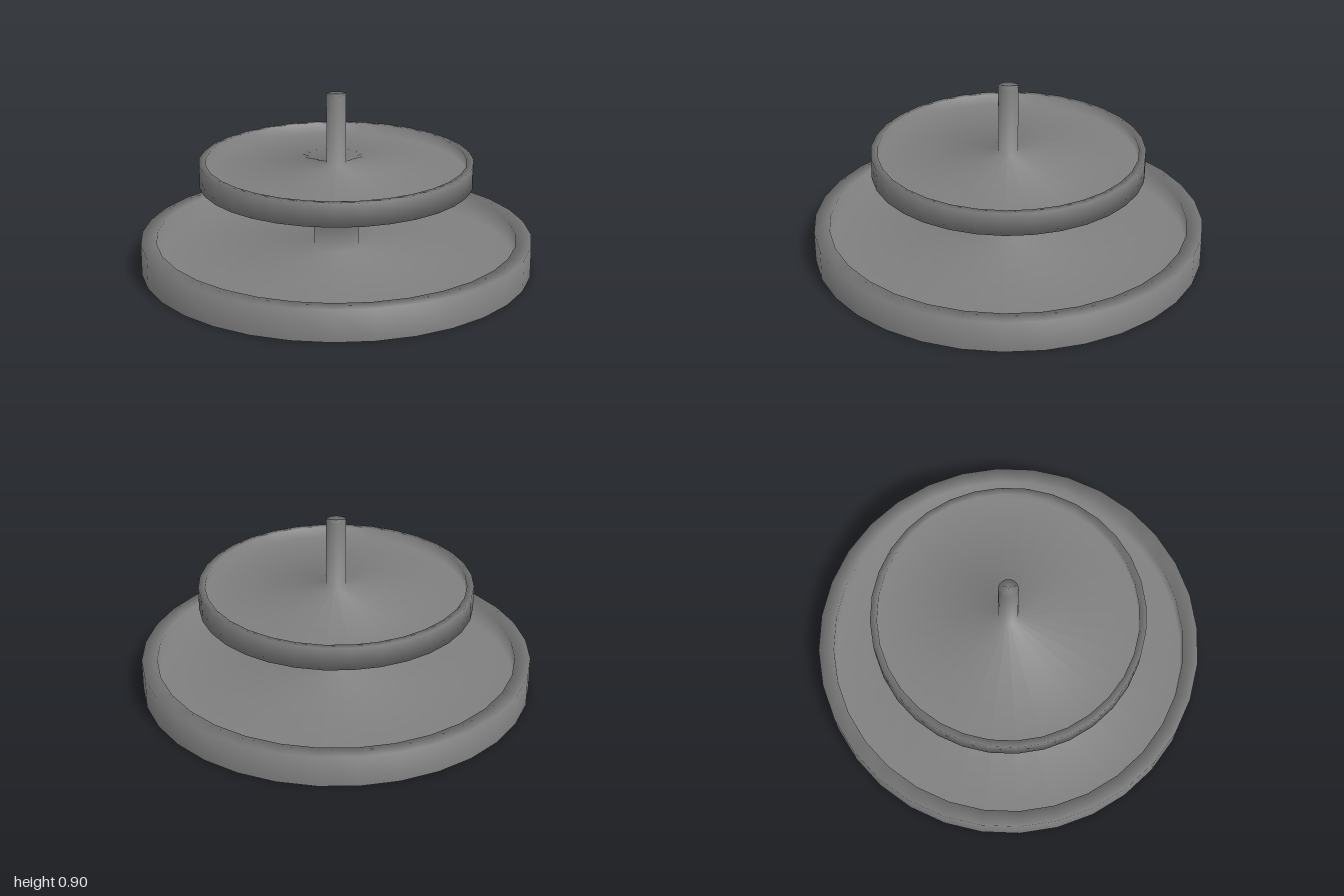
import * as THREE from 'three';

// One continuous thin sheet, open below, given as [radius, height] points
const lowerTray = [[1, 0], [1, 0.16], [0.92, 0.16], [0.92, 0.042]];
const column = [[0.115, 0.095], [0.115, 0.362]];
const upperTray = [[0.695, 0.443], [0.695, 0.56], [0.66, 0.56], [0.66, 0.5]];
const handle = [[0.05, 0.54], [0.05, 0.9], [0, 0.9]];

export function createModel() {
  const group = new THREE.Group();
  group.name = 'twoTierStand';

  // Trays, column and handle are spun together so their joints shade smoothly
  const profile = [...lowerTray, ...column, ...upperTray, ...handle]
    .map(([r, y]) => new THREE.Vector2(r, y));
  const stand = new THREE.Mesh(
    new THREE.LatheGeometry(profile, 32),
    new THREE.MeshStandardMaterial({ color: 0x7f7f7f, side: THREE.DoubleSide }),
  );
  stand.name = 'traysColumnAndHandle';
  group.add(stand);
  return group;
}
